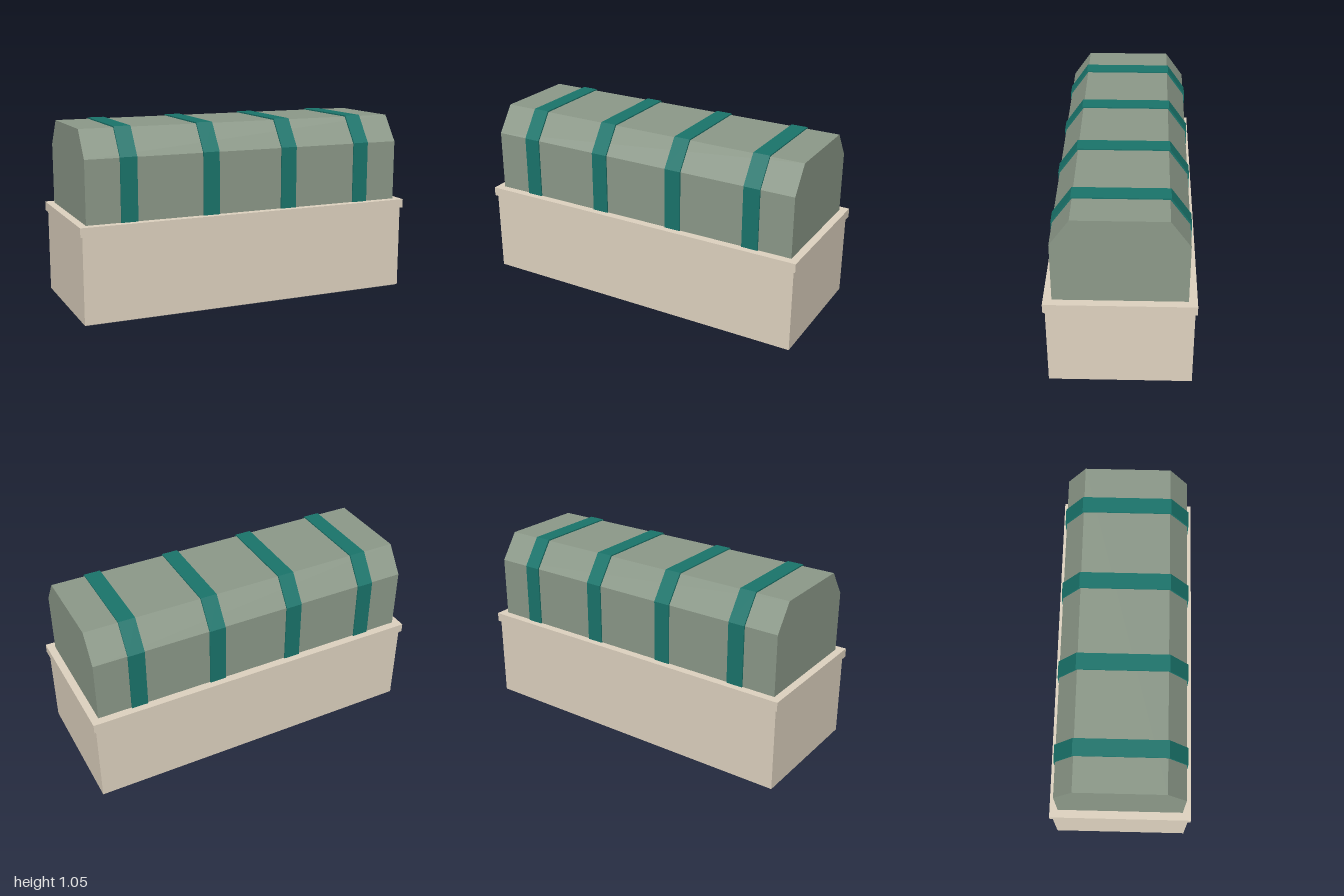
import * as THREE from 'three';

const mat = (name, color) => {
  const m = new THREE.MeshStandardMaterial({ color });
  m.name = name;
  return m;
};

export function createModel() {
  const tan = mat('tan', 0xe0d4c1);
  const sage = mat('sage green', 0x8d9a8a);
  const teal = mat('teal', 0x1a756c);
  const dark = mat('dark grey', 0x606065);

  const group = new THREE.Group();
  group.name = 'strappedChest';

  const add = (name, geometry, material, x = 0, y = 0) => {
    const mesh = new THREE.Mesh(geometry, material);
    mesh.name = name;
    mesh.position.set(x, y, 0);
    group.add(mesh);
  };

  // Box standing on y0, centred on x and z
  const slab = (name, w, d, y0, y1, material) =>
    add(name, new THREE.BoxGeometry(w, y1 - y0, d), material, 0, (y0 + y1) / 2);

  // Chamfered section in the z-y plane, extruded along x and centred
  const rimTop = 0.54;
  const prism = (side, shoulder, topHalf, top, length) => {
    const shape = new THREE.Shape([
      [-side, rimTop], [side, rimTop], [side, shoulder],
      [topHalf, top], [-topHalf, top], [-side, shoulder],
    ].map(([z, y]) => new THREE.Vector2(z, y)));
    return new THREE.ExtrudeGeometry(shape, { depth: length, bevelEnabled: false })
      .translate(0, 0, -length / 2)
      .rotateY(Math.PI / 2);
  };

  // Base plate, body and rim
  slab('basePlate', 1.962, 0.762, 0, 0.005, dark);
  slab('body', 1.974, 0.778, 0.005, 0.488, tan);
  slab('rim', 2, 0.8, 0.488, rimTop, tan);

  // Chamfered cover
  add('cover', prism(0.354, 0.89, 0.248, 1.04, 1.912), sage);

  // Straps wrapped over the cover
  const strap = prism(0.362, 0.893, 0.255, 1.047, 0.095);
  for (const x of [-0.716, -0.24, 0.24, 0.716]) add('strap', strap, teal, x);

  return group;
}
